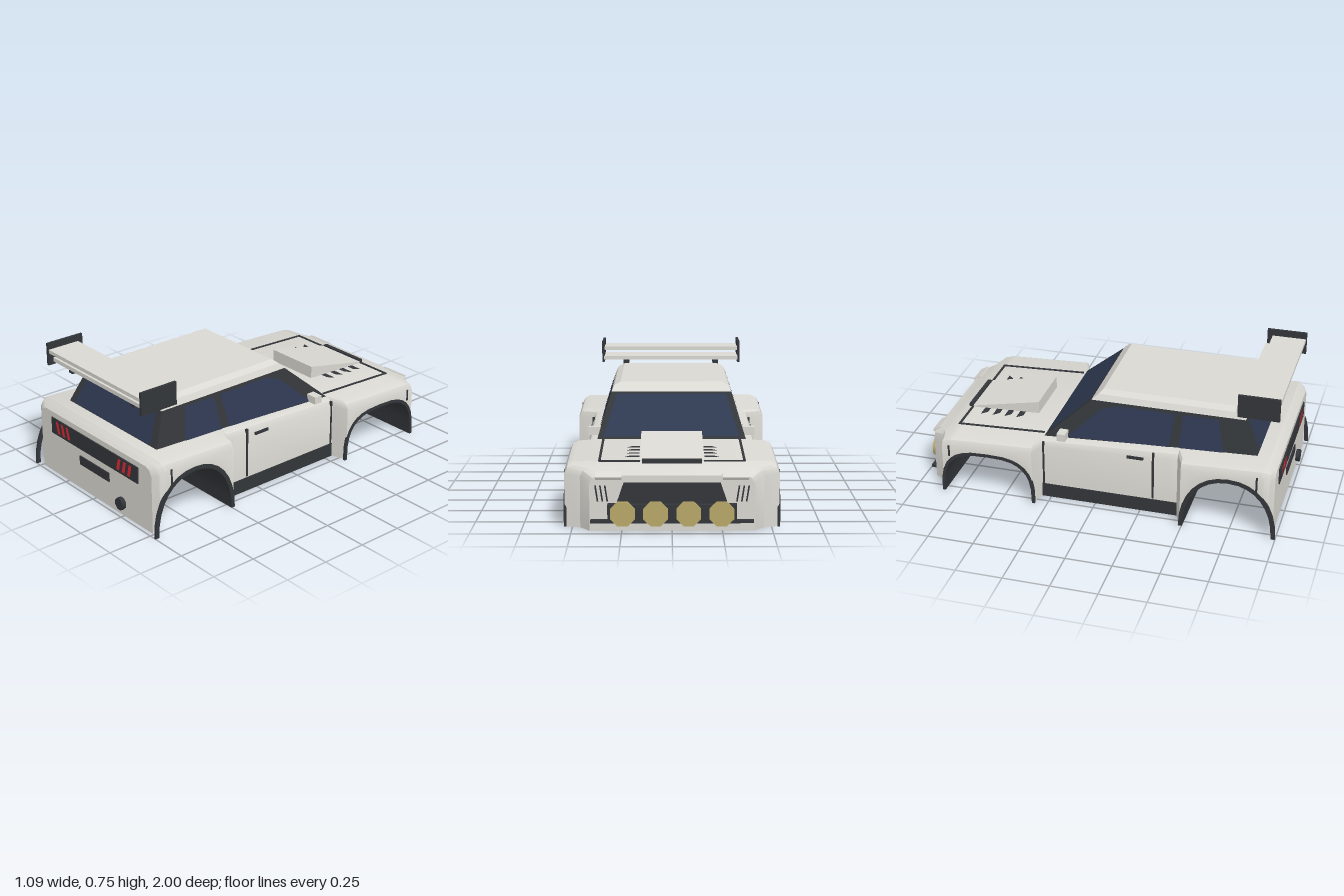
import * as THREE from 'three';
import { ConvexGeometry } from 'three/addons/geometries/ConvexGeometry.js';
import { toCreasedNormals } from 'three/addons/utils/BufferGeometryUtils.js';

const paint = (color) => new THREE.MeshStandardMaterial({ color, side: THREE.DoubleSide });
const white = paint(0xdad8d2), dark = paint(0x33363a), glass = paint(0x2e3850);
const red = paint(0xe02a35), gold = paint(0xb8a868);
const V = (x, y, z) => new THREE.Vector3(x, y, z);

// Piecewise-linear lookup in a list of [z, value]
function lerpTable(table, z) {
  for (let i = 1; i < table.length; i++) {
    const [z0, a] = table[i - 1], [z1, b] = table[i];
    if (z <= z1) return a + (b - a) * Math.max(0, (z - z0) / (z1 - z0));
  }
  return table[table.length - 1][1];
}
const widths = [[-0.937, 0.41], [-0.9, 0.435], [-0.868, 0.46], [-0.84, 0.54], [-0.33, 0.54], [-0.3, 0.45],
  [0.45, 0.45], [0.488, 0.54], [0.92, 0.54], [0.955, 0.527], [0.977, 0.49]];
const tops = [[-0.937, 0.28], [-0.8, 0.325], [-0.3, 0.345], [0.4, 0.378], [0.93, 0.397], [0.977, 0.365]];
const topAt = (z) => lerpTable(tops, z);

// Wheel arches: superellipses in the side plane
const arches = [
  { z: -0.582, r: 0.25, h: 0.245, n: 3, lip: 0.017 },
  { z: 0.74, r: 0.237, h: 0.3, n: 2.2, lip: 0.022 },
];
const archPoint = (a, t, grow = 0) => {
  const c = Math.cos(t), s = Math.max(0, Math.sin(t)), e = 2 / a.n;
  return [a.z + (a.r + grow) * Math.sign(c) * Math.abs(c) ** e, (a.h + grow) * s ** e];
};
function bottomAt(z) {
  for (const a of arches) {
    const u = Math.abs(z - a.z) / a.r;
    if (u < 1) return a.h * (1 - u ** a.n) ** (1 / a.n);
  }
  return 0;
}

export function createModel() {
  const group = new THREE.Group();
  const add = (name, geo, mat) => {
    const m = new THREE.Mesh(geo, mat);
    m.name = name;
    group.add(m);
    return m;
  };
  const box = (name, mat, x0, x1, y0, y1, z0, z1) =>
    add(name, new THREE.BoxGeometry(x1 - x0, y1 - y0, z1 - z0)
      .translate((x0 + x1) / 2, (y0 + y1) / 2, (z0 + z1) / 2), mat);
  const fromTris = (tris) => {
    const g = new THREE.BufferGeometry().setFromPoints(tris);
    g.computeVertexNormals();
    return g;
  };
  // Flat polygon from a fan of points
  const poly = (name, mat, pts) => {
    const tris = [];
    for (let i = 1; i < pts.length - 1; i++) tris.push(pts[0], pts[i], pts[i + 1]);
    return add(name, fromTris(tris), mat);
  };
  // Thin bar between two points
  const bar = (name, mat, a, b, t) => {
    const m = add(name, new THREE.BoxGeometry(t, t, a.distanceTo(b)), mat);
    m.position.copy(a).add(b).multiplyScalar(0.5);
    m.lookAt(b);
    return m;
  };
  const hull = (name, mat, pts) => add(name, toCreasedNormals(new ConvexGeometry(pts), 0.2), mat);

  // Body shell lofted along z, with wheel tunnels cut into its underside
  const zs = [...widths, ...tops].map((p) => p[0]);
  for (const a of arches) for (let i = 0; i <= 16; i++) zs.push(archPoint(a, (Math.PI * i) / 16)[0]);
  zs.sort((a, b) => a - b);
  const stations = zs.filter((z, i) => i === 0 || z - zs[i - 1] > 1e-4);
  const section = (z) => {
    const w = lerpTable(widths, z), t = topAt(z), b = bottomAt(z);
    const half = [[w, b], [w, t - 0.042], [w - 0.015, t - 0.013], [w - 0.045, t]];
    const mirrored = half.map(([x, y]) => [-x, y]).reverse();
    return [...half, ...mirrored].map(([x, y]) => V(x, y, z));
  };
  const shell = [], under = [];
  for (let i = 0; i < stations.length - 1; i++) {
    const p = section(stations[i]), q = section(stations[i + 1]);
    for (let j = 0; j < p.length; j++) {
      const k = (j + 1) % p.length;
      (j === p.length - 1 ? under : shell).push(p[j], p[k], q[k], p[j], q[k], q[j]);
    }
  }
  add('bodyShell', toCreasedNormals(fromTris(shell), 0.5), white);
  add('underbody', toCreasedNormals(fromTris(under), 0.5), dark);
  poly('nosePanel', white, section(stations[0]).reverse());
  poly('rearPanel', white, section(stations[stations.length - 1]));

  // Cabin and roof
  const sideX = (y) => 0.33 + (0.565 - y) * 0.31;
  const screenZ = (y) => -0.05 - (0.565 - y) * 1.136;
  const rearZ = (y) => 0.78 + (0.565 - y) * 0.47;
  const cabin = [], roof = [];
  for (const s of [-1, 1]) {
    cabin.push(V(s * 0.33, 0.565, -0.05), V(s * 0.33, 0.565, 0.78),
      V(s * sideX(0.34), 0.34, screenZ(0.34)), V(s * sideX(0.385), 0.385, rearZ(0.385)));
    roof.push(V(s * 0.33, 0.565, -0.055), V(s * 0.33, 0.565, 0.782), V(s * 0.315, 0.597, -0.02),
      V(s * 0.315, 0.597, 0.775), V(s * 0.28, 0.615, 0), V(s * 0.28, 0.615, 0.768));
  }
  hull('cabinFrame', dark, cabin);
  hull('roof', white, roof);
  const screen = (name, x0, y0, x1, y1, zAt, off) => poly(name, glass,
    [[-x0, y0], [x0, y0], [x1, y1], [-x1, y1]].map(([x, y]) => V(x, y + 0.002, zAt(y) + off)));
  screen('windscreen', 0.365, 0.357, 0.3, 0.555, screenZ, -0.004);
  screen('rearWindow', 0.335, 0.398, 0.292, 0.548, rearZ, 0.004);

  for (const s of [-1, 1]) {
    // Side windows, as [z, y]
    for (const [name, pts] of [
      ['rearSideWindow', [[0.68, 0.388], [0.64, 0.55], [0.45, 0.55], [0.44, 0.38]]],
      ['doorWindow', [[0.39, 0.378], [0.405, 0.55], [0.08, 0.55], [0.0, 0.52], [-0.175, 0.358]]],
    ]) poly(name, glass, pts.map(([z, y]) => V(s * (sideX(y) + 0.004), y, z)));

    // Arch lips
    for (const a of arches) {
      const pts = [];
      for (let i = 0; i <= 16; i++) pts.push(archPoint(a, (Math.PI * i) / 16, a.lip));
      for (let i = 16; i >= 0; i--) pts.push(archPoint(a, (Math.PI * i) / 16));
      const shape = new THREE.Shape(pts.map(([z, y]) => new THREE.Vector2(-z, y)));
      const geo = new THREE.ExtrudeGeometry(shape, { depth: 0.014, bevelEnabled: false });
      geo.rotateY(Math.PI / 2).translate(s > 0 ? 0.53 : -0.544, 0, 0);
      add('archLip', geo, dark);
    }

    // Door seams, handle, bumper seams, mirror
    const side = (x) => [Math.min(s * x, s * (x + 0.012)), Math.max(s * x, s * (x + 0.012))];
    box('doorSeam', dark, ...side(0.441), 0.085, 0.36, 0.312, 0.324);
    box('doorSeam', dark, ...side(0.441), 0.08, 0.335, -0.296, -0.286);
    box('doorHandle', dark, ...side(0.446), 0.312, 0.327, 0.175, 0.265);
    box('rearBumperSeam', dark, ...side(0.531), 0.25, 0.356, 0.884, 0.894);
    box('frontBumperSeam', dark, ...side(0.531), 0.22, 0.284, -0.805, -0.795);
    box('mirror', white, ...[s * 0.385, s * 0.45].sort((a, b) => a - b), 0.353, 0.395, -0.215, -0.168);

    // Bonnet seams and louvres
    bar('bonnetSeam', dark, V(s * 0.365, 0.344, -0.31), V(s * 0.365, 0.324, -0.8), 0.012);
    bar('bonnetSeam', dark, V(s * 0.37, 0.324, -0.8), V(s * 0.16, 0.324, -0.8), 0.012);
    for (let i = 0; i < 4; i++) {
      const z = -0.725 + i * 0.069;
      poly('bonnetLouvre', dark, [[0.165, 0], [0.24, 0], [0.21, 0.033], [0.165, 0.033]]
        .map(([x, d]) => V(s * x, topAt(z + d) + 0.004, z + d)));
    }

    // Tail light slashes, nose slits, headlamp covers
    for (let i = 0; i < 3; i++) {
      const x = 0.338 - i * 0.046;
      poly('tailLight', red, [[x, 0.325], [x - 0.022, 0.325], [x - 0.04, 0.258], [x - 0.016, 0.258]]
        .map(([px, y]) => V(s * px, y, 0.987)));
      const n = 0.385 - i * 0.024;
      poly('noseSlit', dark, [[n, 0.23], [n - 0.008, 0.23], [n - 0.02, 0.15], [n - 0.012, 0.15]]
        .map(([px, y]) => V(s * px, y, -0.94)));
    }
    const cover = box('headlampCover', white, -0.065, 0.065, -0.008, 0.008, -0.025, 0.025);
    cover.position.set(s * 0.315, 0.279, -0.93);
    cover.rotation.x = -0.5;

    // Wing end plates and struts
    box('wingEndPlate', dark, s * 0.407 - 0.007, s * 0.407 + 0.007, 0.625, 0.75, 0.75, 0.97);
    box('wingStrut', dark, s * 0.27 - 0.016, s * 0.27 + 0.016, 0.61, 0.645, 0.77, 0.92);
  }
  box('sill', dark, -0.454, 0.454, 0, 0.078, -0.3, 0.46);

  // Bonnet scoop wedge with intake slot
  const scoop = [];
  for (const x of [-0.16, 0.16]) scoop.push(V(x, 0.41, -0.41), V(x, 0.33, -0.41), V(x, 0.315, -0.8), V(x, 0.331, -0.8));
  hull('bonnetScoop', white, scoop);
  box('scoopIntake', dark, -0.15, 0.15, 0.318, 0.338, -0.825, -0.802);

  // Wing blades
  box('upperBlade', white, -0.402, 0.402, 0.694, 0.714, 0.78, 0.965);
  box('lowerBlade', white, -0.402, 0.402, 0.641, 0.663, 0.742, 0.94);

  // Rear panel fittings
  box('tailPanel', dark, -0.383, 0.383, 0.242, 0.334, 0.97, 0.984);
  box('plateRecess', dark, -0.13, 0.13, 0.15, 0.2, 0.97, 0.984);
  add('exhaust', new THREE.CylinderGeometry(0.035, 0.035, 0.06, 8).rotateY(Math.PI / 8)
    .rotateX(Math.PI / 2).translate(0.235, 0.07, 0.97), dark);

  // Nose fittings and lamp row
  poly('grille', dark, [V(-0.29, 0.1, -0.941), V(-0.24, 0.245, -0.941), V(0.24, 0.245, -0.941), V(0.29, 0.1, -0.941)]);
  box('splitter', dark, -0.405, 0.405, 0.045, 0.06, -0.967, -0.92);
  box('lampBar', dark, -0.32, 0.32, 0.05, 0.14, -0.975, -0.935);
  for (let i = 0; i < 4; i++) {
    add('spotLamp', new THREE.CylinderGeometry(0.066, 0.066, 0.018, 8).rotateY(Math.PI / 8)
      .rotateX(Math.PI / 2).translate(-0.2445 + i * 0.163, 0.098, -0.989), gold);
  }
  return group;
}
